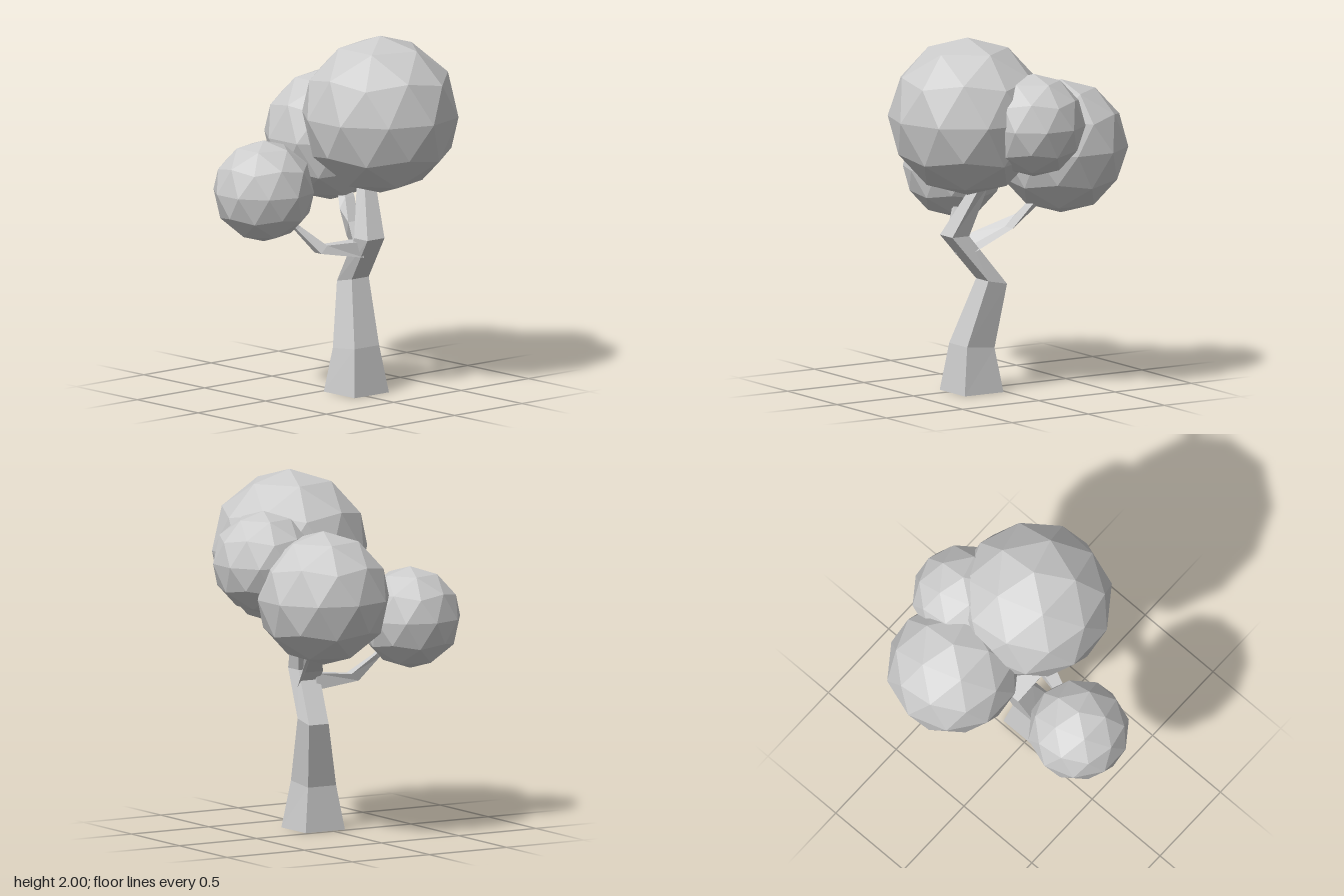
import * as THREE from 'three';

const bark = new THREE.MeshStandardMaterial({ color: 0xcccccc, flatShading: true });
const leaves = new THREE.MeshStandardMaterial({ color: 0xcccccc, flatShading: true });

// Four-sided limb through sections: centre, half width, half depth, tilt about x, tilt about z
function limb(name, sections) {
  const pos = [], index = [];
  const corners = [[-1, 1], [1, 1], [1, -1], [-1, -1]];
  for (const [x, y, z, hx, hz, tiltX = 0, tiltZ = 0] of sections) {
    const turn = new THREE.Euler(tiltX, 0, tiltZ);
    for (const [sx, sz] of corners) {
      const p = new THREE.Vector3(sx * hx, 0, sz * hz).applyEuler(turn);
      pos.push(x + p.x, y + p.y, z + p.z);
    }
  }
  const last = (sections.length - 1) * 4;
  for (let s = 0; s < last; s += 4) {
    for (let i = 0; i < 4; i++) {
      const a = s + i, b = s + (i + 1) % 4;
      index.push(a, b, b + 4, a, b + 4, a + 4);
    }
  }
  index.push(2, 1, 0, 3, 2, 0);
  index.push(last, last + 1, last + 2, last, last + 2, last + 3);
  const indexed = new THREE.BufferGeometry();
  indexed.setAttribute('position', new THREE.Float32BufferAttribute(pos, 3));
  indexed.setIndex(index);
  const geo = indexed.toNonIndexed();
  geo.computeVertexNormals();
  const mesh = new THREE.Mesh(geo, bark);
  mesh.name = name;
  return mesh;
}

// Faceted ball of leaves with a corner pointing straight up
function foliage(name, radius, x, y, z) {
  const geo = new THREE.IcosahedronGeometry(radius, 1);
  geo.rotateX(-Math.atan2((1 + Math.sqrt(5)) / 2, 1));
  geo.rotateY(Math.PI / 2);
  const mesh = new THREE.Mesh(geo, leaves);
  mesh.position.set(x, y, z);
  mesh.name = name;
  return mesh;
}

export function createModel() {
  const tree = new THREE.Group();
  tree.name = 'tree';

  // Crooked trunk, leaning forward above the bend
  tree.add(limb('trunk', [
    [0.043, 0, 0.145, 0.127, 0.127],
    [0.042, 0.255, 0.143, 0.091, 0.09, -0.1],
    [0.101, 0.615, 0.052, 0.063, 0.062, -0.2],
    [0.04, 0.88, 0.255, 0.063, 0.055],
    [0.118, 1.15, 0.145, 0.042, 0.034, 0.25],
    [0.13, 1.2, 0.125, 0.04, 0.032, 0.25],
  ]));

  // Branch growing out of the back of the trunk
  tree.add(limb('backBranch', [
    [0.055, 0.825, 0.16, 0.058, 0.068, 0.88],
    [0.17, 0.95, -0.053, 0.04, 0.048, 0.75],
    [0.22, 1.045, -0.135, 0.034, 0.032, 0.3],
    [0.235, 1.1, -0.18, 0.03, 0.028, 0.3],
  ]));

  // Thin elbowed branch on the right-hand side
  tree.add(limb('sideBranch', [
    [0.02, 0.815, 0.19, 0.046, 0.045, 0, Math.PI / 2],
    [-0.197, 0.83, 0.12, 0.03, 0.028, 0, 0.75],
    [-0.297, 0.95, 0.035, 0.015, 0.015, 0, 0.55],
    [-0.34, 1.0, 0.01, 0.013, 0.013, 0, 0.55],
  ]));

  // Crown
  tree.add(
    foliage('frontFoliage', 0.44, 0.14, 1.56, 0.235),
    foliage('backFoliage', 0.372, 0.255, 1.36, -0.303),
    foliage('leftFoliage', 0.286, 0.453, 1.535, 0.003),
    foliage('rightFoliage', 0.283, -0.456, 1.165, -0.063),
  );
  return tree;
}
